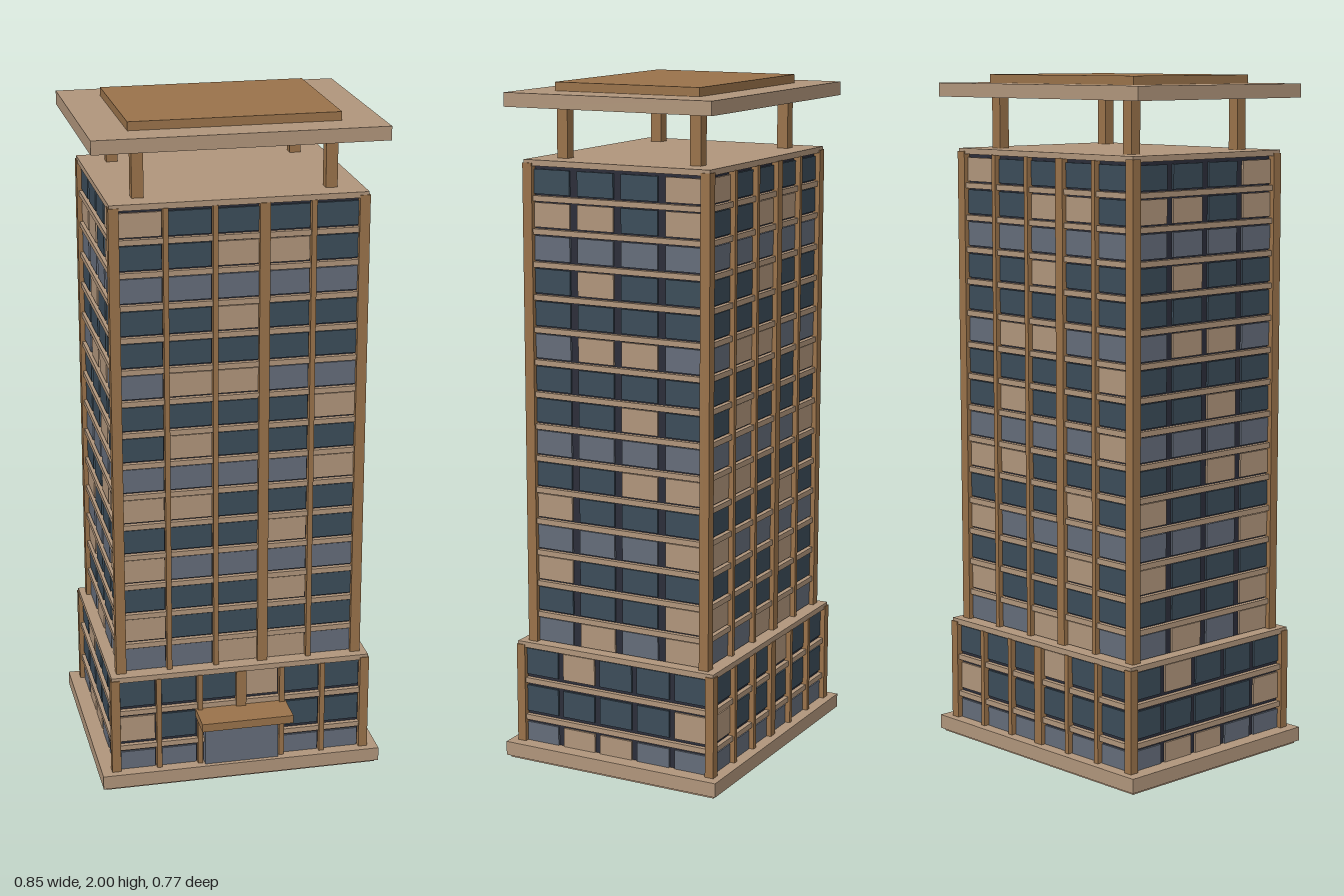
import * as THREE from 'three';

const material = (name, color) => {
  const m = new THREE.MeshStandardMaterial({ color });
  m.name = name;
  return m;
};

export function createModel() {
  const stone = material('tan stone', 0xb0957b);
  const brown = material('brown cladding', 0x99724a);
  const frame = material('dark frame', 0x2b2d39);
  const glass = { D: material('dark glass', 0x3b4c59), G: material('grey glass', 0x646c79), T: stone };

  const model = new THREE.Group();
  model.name = 'tower';
  const building = new THREE.Group();
  building.name = 'building';
  building.position.z = -0.035;
  model.add(building);

  // Box given by its centre in x and z, its bottom and top in y
  const box = (parent, name, mat, w, d, y0, y1, x = 0, z = 0) => {
    const mesh = new THREE.Mesh(new THREE.BoxGeometry(w, y1 - y0, d), mat);
    mesh.name = name;
    mesh.position.set(x, (y0 + y1) / 2, z);
    parent.add(mesh);
    return mesh;
  };

  // One wall: window plates, floor bands and optional mullions, facing local +z
  const facade = (name, o) => {
    const wall = new THREE.Group();
    wall.name = name;
    wall.rotation.y = o.turn;
    building.add(wall);
    const cols = o.rows[0].length, count = o.rows.length;
    const left = -o.pitch * cols / 2;
    o.rows.forEach((row, r) => {
      const base = o.y + (count - 1 - r) * o.floor;
      [...row].forEach((key, c) => {
        if (key === '-') return;
        box(wall, 'window', glass[key], o.winW, 0.008, base + 0.5 * (o.floor - o.winH),
          base + 0.5 * (o.floor + o.winH), left + (c + 0.5) * o.pitch, o.face + 0.002);
      });
      if (r < count - 1) {
        box(wall, 'floorBand', stone, o.width, 0.014, base - 0.008, base + 0.008, 0, o.face + 0.007);
      }
    });
    if (!o.mullions) return;
    for (let i = 1; i < cols; i++) {
      const middle = i === Math.floor(cols / 2 + 0.5);
      const y0 = o.door && middle ? 0.23 : o.bottom;
      box(wall, 'mullion', brown, middle ? 0.03 : 0.015, 0.02, y0, o.top, left + i * o.pitch, o.face + 0.01);
    }
  };

  // Core, corner piers and cap of one block
  const block = (name, hx, hz, inset, pier, y0, y1) => {
    box(building, name + 'Core', frame, 2 * (hx - inset), 2 * (hz - inset), y0, y1);
    for (const sx of [-1, 1]) for (const sz of [-1, 1]) {
      box(building, name + 'Pier', brown, pier, pier, y0, y1 - 0.004, sx * (hx - pier / 2), sz * (hz - pier / 2));
    }
    box(building, name + 'Cap', stone, 2 * hx - 0.006, 2 * hz - 0.006, y1 - 0.012, y1 + 0.005);
  };

  // Plinth
  box(building, 'footing', stone, 0.83, 0.68, 0, 0.012);
  box(building, 'plinth', stone, 0.85, 0.7, 0.008, 0.05);

  // Podium
  block('podium', 0.394, 0.328, 0.02, 0.027, 0.05, 0.355);
  const podium = { y: 0.01, floor: 0.115, winH: 0.08, bottom: 0.05, top: 0.345 };
  const podiumLong = { ...podium, pitch: 0.125, winW: 0.104, width: 0.74, face: 0.308, mullions: true };
  const podiumSide = { ...podium, pitch: 0.124, winW: 0.106, width: 0.61, face: 0.374 };
  facade('podiumFront', { ...podiumLong, turn: 0, door: true, rows: ['DDDTDD', 'TD--DD', 'GG--GG'] });
  facade('podiumBack', { ...podiumLong, turn: Math.PI, rows: ['DDDTDD', 'TDDDDD', 'GGGGGG'] });

  // Tower
  block('tower', 0.372, 0.299, 0.02, 0.03, 0.355, 1.78);
  const tower = { y: 0.35, floor: 0.0947, winH: 0.07, bottom: 0.355, top: 1.77 };
  const longRows = ['TDDDD', 'DDTTD', 'GGGGG', 'DDTDD', 'DDDDD', 'GTTGG', 'DDDDT', 'DTDDD',
    'GGGGT', 'TTDDD', 'DDDTD', 'TGGGG', 'DDDTD', 'TDDDD', 'GGTTG'];
  const sideRows = ['DDDT', 'TTDT', 'GGGG', 'DTDD', 'DDDD', 'GTTG', 'DDDD', 'DDTD',
    'GGGG', 'DDTT', 'TDDD', 'GGGT', 'TDDD', 'DDDT', 'GTGT'];

  // Opposite walls repeat each other, turned half round
  for (const back of [0, 1]) {
    const turn = back * Math.PI, end = back ? 'Right' : 'Left';
    facade(back ? 'towerBack' : 'towerFront', { ...tower, turn, rows: longRows,
      pitch: 0.141, winW: 0.122, width: 0.69, face: 0.279, mullions: true });
    facade('tower' + end, { ...tower, turn: turn + Math.PI / 2, rows: sideRows,
      pitch: 0.141, winW: 0.116, width: 0.545, face: 0.352 });
    facade('podium' + end, { ...podiumSide, turn: turn + Math.PI / 2, rows: ['DTDDD', 'DDDDT', 'GTTGG'] });
  }

  // Entrance
  box(building, 'door', glass.G, 0.224, 0.03, 0.05, 0.205, 0, 0.322);
  box(building, 'canopy', brown, 0.276, 0.11, 0.205, 0.23, 0, 0.365);

  // Roof pavilion
  for (const sx of [-1, 1]) for (const sz of [-1, 1]) {
    box(building, 'roofPost', brown, 0.034, 0.034, 1.78, 1.936, sx * 0.277, sz * 0.213);
  }
  box(building, 'roofSlab', stone, 0.84, 0.654, 1.935, 1.975);
  box(building, 'roofPanel', brown, 0.606, 0.46, 1.975, 2);

  return model;
}
